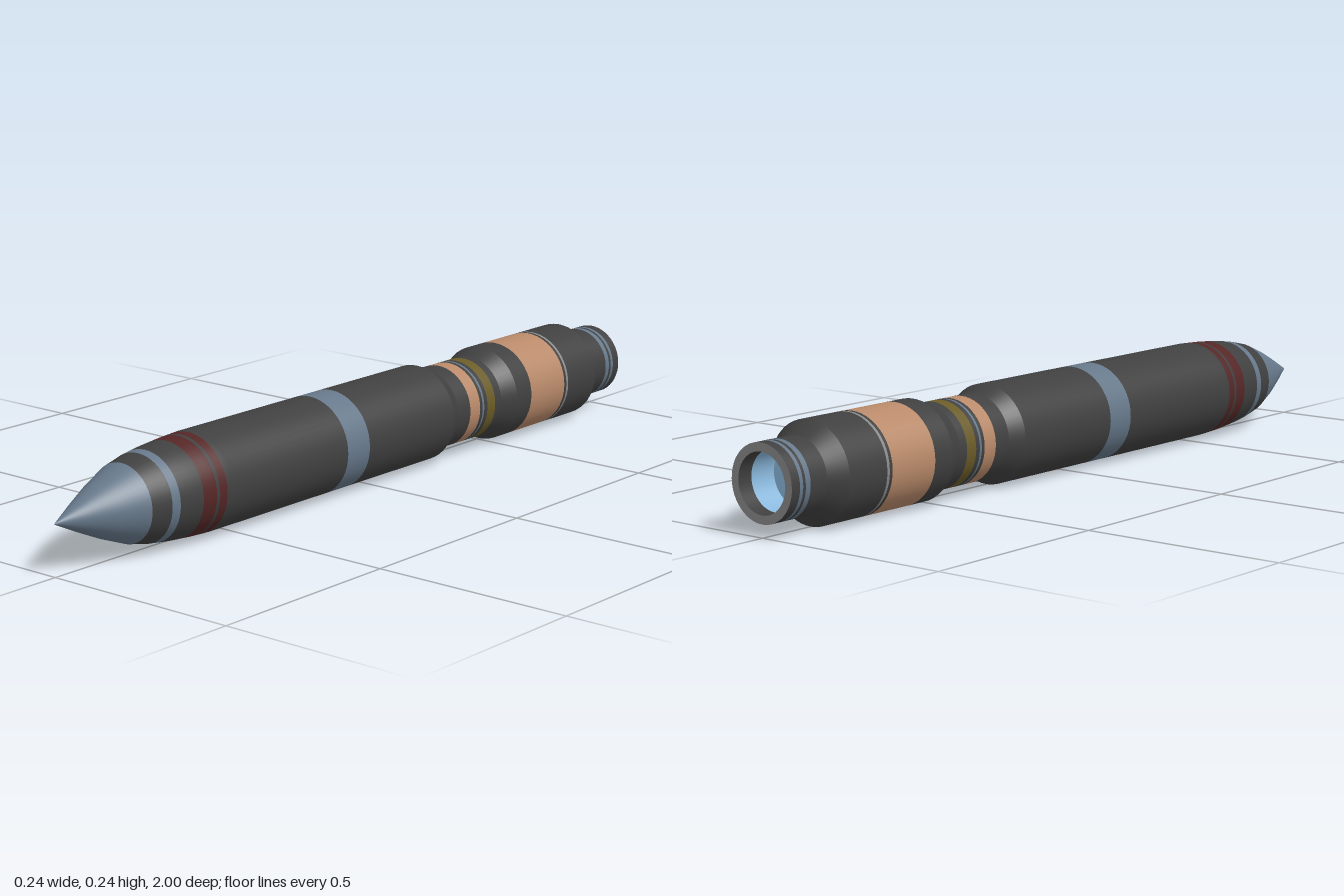
import * as THREE from 'three';

const material = (name, color) => {
  const m = new THREE.MeshStandardMaterial({ color });
  m.name = name;
  return m;
};

export function createModel() {
  const dark = material('charcoal', 0x404040);
  const slate = material('slate blue', 0x66788a);
  const tan = material('tan', 0xb98a6a);
  const olive = material('olive', 0x6b5c28);
  const red = material('dark red', 0x552626);
  const grey = material('rim grey', 0x8a8a8a);
  const blue = material('nozzle blue', 0x8ab8dc);

  const group = new THREE.Group();
  group.name = 'rocket';
  const R = 0.12;

  // Outer silhouette as [z, radius], from tail to tip
  const profile = [
    [-1, 0.09], [-0.89, 0.09], [-0.85, R], [-0.51, R], [-0.465, 0.103],
    [-0.29, 0.103], [-0.25, R], [0.56, R], [0.62, 0.117], [0.68, 0.112],
    [0.74, 0.104], [0.79, 0.093], [0.86, 0.066], [0.93, 0.034], [1, 0],
  ];
  const radiusAt = (z) => {
    let i = 1;
    while (i < profile.length - 1 && profile[i][0] < z) i++;
    const [z0, r0] = profile[i - 1], [z1, r1] = profile[i];
    return r0 + (r1 - r0) * (z - z0) / (z1 - z0);
  };

  // Surface of revolution about the long axis
  const revolve = (name, mat, points) => {
    const geometry = new THREE.LatheGeometry(
      points.map(([z, r]) => new THREE.Vector2(r, z)), 48);
    const mesh = new THREE.Mesh(geometry, mat);
    mesh.name = name;
    mesh.rotation.x = Math.PI / 2;
    mesh.position.y = R;
    group.add(mesh);
  };

  // Consecutive painted sections: [front end z, name, material]
  const sections = [
    [-0.975, 'tailSleeve', dark], [-0.965, 'tailStripe', slate],
    [-0.957, 'tailSleeve', dark], [-0.942, 'tailStripe', slate],
    [-0.89, 'tailSleeve', dark], [-0.85, 'tailShoulder', dark],
    [-0.73, 'lowerStage', dark], [-0.722, 'lowerStageSeam', grey],
    [-0.713, 'lowerStage', dark], [-0.57, 'lowerStageBand', tan],
    [-0.51, 'lowerStage', dark], [-0.465, 'lowerShoulder', dark],
    [-0.44, 'neck', dark], [-0.408, 'neckOliveBand', olive],
    [-0.395, 'neck', dark], [-0.388, 'neckStripe', slate],
    [-0.378, 'neck', dark], [-0.338, 'neckTanBand', tan],
    [-0.29, 'neck', dark], [-0.25, 'upperShoulder', dark],
    [0.075, 'mainStage', dark], [0.155, 'mainStageBand', slate],
    [0.575, 'mainStage', dark], [0.598, 'rearRedBand', red],
    [0.608, 'noseSection', dark], [0.648, 'frontRedBand', red],
    [0.715, 'noseSection', dark], [0.738, 'noseStripe', slate],
    [0.79, 'noseSection', dark], [1, 'noseCone', slate],
  ];
  let start = -1;
  for (const [end, name, mat] of sections) {
    const inner = profile.filter(([z]) => z > start && z < end);
    revolve(name, mat, [[start, radiusAt(start)], ...inner, [end, radiusAt(end)]]);
    start = end;
  }

  // Open nozzle: flat rim, dark lip, blue bore and its floor
  revolve('nozzleRim', grey, [[-1, 0.07], [-1, 0.09]]);
  revolve('nozzleLip', dark, [[-0.96, 0.07], [-1, 0.07]]);
  revolve('nozzleBore', blue, [[-0.89, 0.07], [-0.96, 0.07]]);
  revolve('nozzleFloor', blue, [[-0.89, 0], [-0.89, 0.07]]);

  return group;
}
